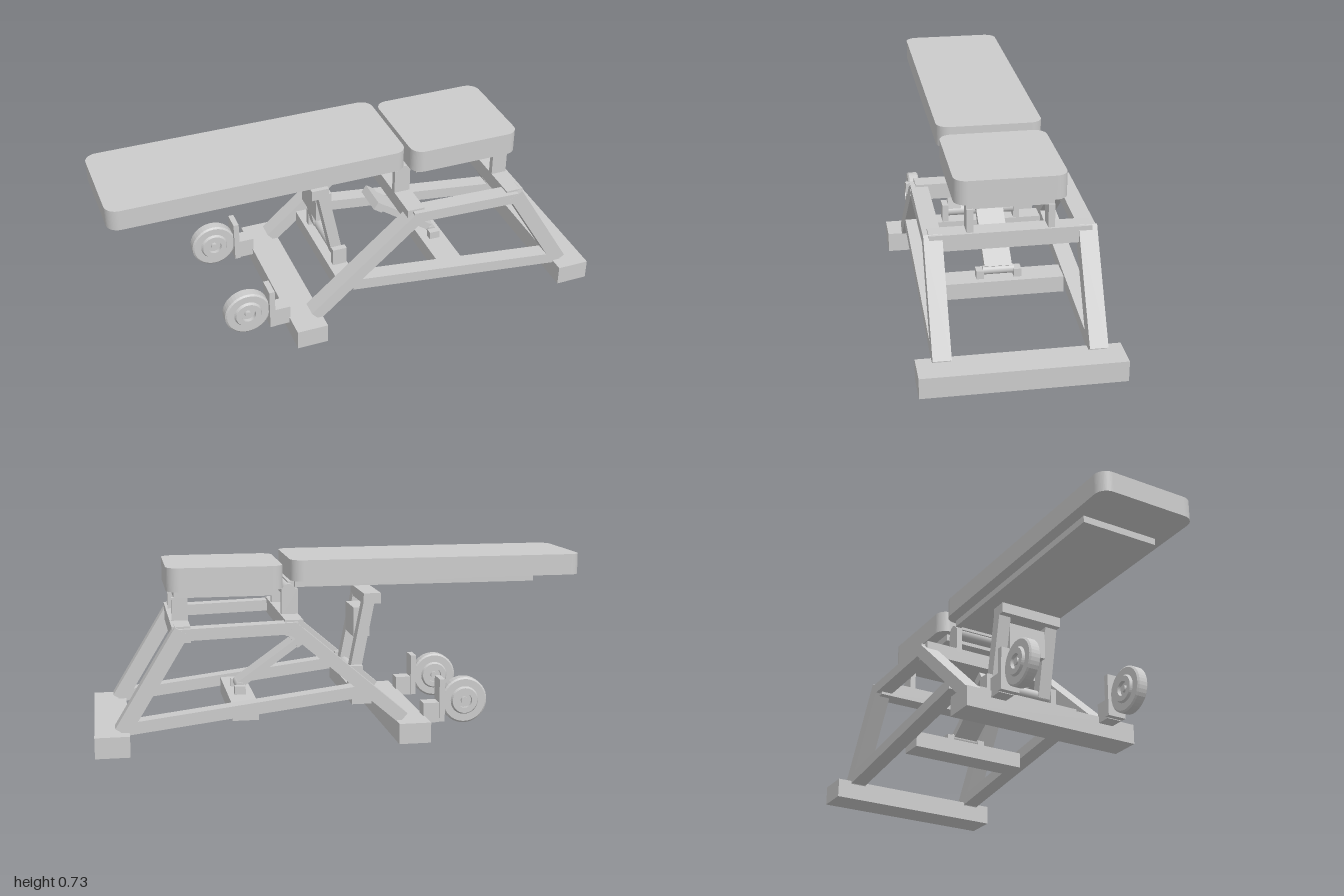
import * as THREE from 'three';

const material = new THREE.MeshStandardMaterial({ color: 0xcccccc });

export function createModel() {
  const model = new THREE.Group();

  const add = (name, geometry) => {
    const mesh = new THREE.Mesh(geometry, material);
    mesh.name = name;
    model.add(mesh);
    return mesh;
  };

  // Box given by its limits on each axis
  const box = (name, x0, x1, y0, y1, z0, z1) =>
    add(name, new THREE.BoxGeometry(x1 - x0, y1 - y0, z1 - z0))
      .position.set((x0 + x1) / 2, (y0 + y1) / 2, (z0 + z1) / 2);

  // Box limited to |z| between z0 and z1, on both sides
  const pair = (name, x0, x1, y0, y1, z0, z1) => {
    box(name + 'Left', x0, x1, y0, y1, z0, z1);
    box(name + 'Right', x0, x1, y0, y1, -z1, -z0);
  };

  // Straight tube between two points of the side profile
  const bar = (name, [x0, y0], [x1, y1], thick, width, z) => {
    const mesh = add(name, new THREE.BoxGeometry(Math.hypot(x1 - x0, y1 - y0), thick, width));
    mesh.position.set((x0 + x1) / 2, (y0 + y1) / 2, z);
    mesh.rotation.z = Math.atan2(y1 - y0, x1 - x0);
  };

  // Round rod lying along z
  const rod = (name, x, y, r, length, z = 0) => {
    const mesh = add(name, new THREE.CylinderGeometry(r, r, length, 24));
    mesh.rotation.x = Math.PI / 2;
    mesh.position.set(x, y, z);
  };

  // Cushion with rounded vertical corners
  const pad = (name, x0, x1, y0, y1, h, r) => {
    const s = new THREE.Shape();
    s.moveTo(x0 + r, -h);
    s.lineTo(x1 - r, -h);
    s.absarc(x1 - r, -h + r, r, -Math.PI / 2, 0);
    s.lineTo(x1, h - r);
    s.absarc(x1 - r, h - r, r, 0, Math.PI / 2);
    s.lineTo(x0 + r, h);
    s.absarc(x0 + r, h - r, r, Math.PI / 2, Math.PI);
    s.lineTo(x0, -h + r);
    s.absarc(x0 + r, -h + r, r, Math.PI, Math.PI * 1.5);
    const g = new THREE.ExtrudeGeometry(s, { depth: y1 - y0, bevelEnabled: false, curveSegments: 8 });
    g.rotateX(-Math.PI / 2);
    add(name, g).position.y = y0;
  };

  // Cushions and their boards
  pad('backPad', -1, 0.21, 0.64, 0.725, 0.212, 0.05);
  box('backBoard', -0.81, 0.19, 0.612, 0.64, -0.165, 0.165);
  pad('seatPad', 0.24, 0.705, 0.61, 0.705, 0.212, 0.05);
  box('seatBoard', 0.27, 0.675, 0.58, 0.61, -0.165, 0.165);

  // Feet
  box('frontFoot', 0.865, 1, 0, 0.083, -0.385, 0.385);
  box('rearFoot', -0.325, -0.195, 0, 0.083, -0.385, 0.385);

  // Side frames
  for (const [side, s] of [['Left', 1], ['Right', -1]]) {
    const z = s * 0.29;
    bar('frontLeg' + side, [0.655, 0.475], [0.893, 0.083], 0.062, 0.07, z);
    bar('rearLeg' + side, [0.225, 0.475], [-0.225, 0.09], 0.052, 0.07, z);
    bar('topRail' + side, [0.2, 0.473], [0.68, 0.458], 0.046, 0.068, z);
    bar('lowerRail' + side, [-0.06, 0.208], [0.9, 0.092], 0.048, 0.068, z);
  }

  // Cross beams
  box('rearTopBeam', 0.178, 0.25, 0.44, 0.503, -0.305, 0.305);
  box('frontTopBeam', 0.62, 0.693, 0.425, 0.49, -0.305, 0.305);
  box('rearLowerBeam', -0.108, -0.027, 0.14, 0.203, -0.256, 0.256);
  box('frontLowerBeam', 0.352, 0.458, 0.093, 0.16, -0.256, 0.256);

  // Seat posts and the back hinge
  pair('seatPost', 0.62, 0.684, 0.48, 0.582, 0.14, 0.165);
  pair('hingePlate', 0.178, 0.245, 0.49, 0.605, 0.14, 0.165);
  rod('hingeRod', 0.215, 0.597, 0.028, 0.33);
  box('hingeLug', 0.18, 0.215, 0.6, 0.632, -0.14, 0.14);

  // Prop that carries the back
  pair('propBracket', -0.09, -0.03, 0.19, 0.278, 0.14, 0.165);
  rod('propPivot', -0.06, 0.243, 0.023, 0.28);
  for (const s of [1, -1])
    bar(s > 0 ? 'propLegLeft' : 'propLegRight', [-0.125, 0.56], [-0.06, 0.235], 0.045, 0.055, s * 0.1125);
  box('propHead', -0.17, -0.098, 0.53, 0.574, -0.14, 0.14);
  box('propBlock', -0.135, -0.066, 0.385, 0.508, -0.085, 0.085);

  // Diagonal adjusting strut
  pair('strutBracket', 0.385, 0.43, 0.155, 0.194, 0.06, 0.09);
  rod('strutPivot', 0.405, 0.187, 0.018, 0.125);
  bar('strut', [0.15, 0.374], [0.405, 0.193], 0.03, 0.11, 0);
  bar('strutHead', [0.138, 0.384], [0.175, 0.358], 0.036, 0.14, 0);

  // Transport wheels with their mounts
  const half = [[0.03, 0.018], [0.03, 0.034], [0.052, 0.034], [0.058, 0.024], [0.088, 0.024], [0.095, 0.018]];
  const profile = [[0, 0.018], ...half, ...half.map(([r, h]) => [r, -h]).reverse(), [0, -0.018]]
    .map(([r, h]) => new THREE.Vector2(r, h)).reverse();
  const tyre = new THREE.LatheGeometry(profile, 40).toNonIndexed();
  tyre.computeVertexNormals();
  tyre.rotateX(Math.PI / 2);
  pair('wheelBlock', -0.385, -0.32, 0.055, 0.137, 0.215, 0.28);
  pair('wheelPlate', -0.408, -0.385, 0.058, 0.235, 0.205, 0.285);
  for (const s of [1, -1]) {
    const side = s > 0 ? 'Left' : 'Right';
    add('wheel' + side, tyre).position.set(-0.495, 0.14, s * 0.244);
    rod('wheelAxle' + side, -0.495, 0.14, 0.014, 0.062, s * 0.244);
  }

  return model;
}
